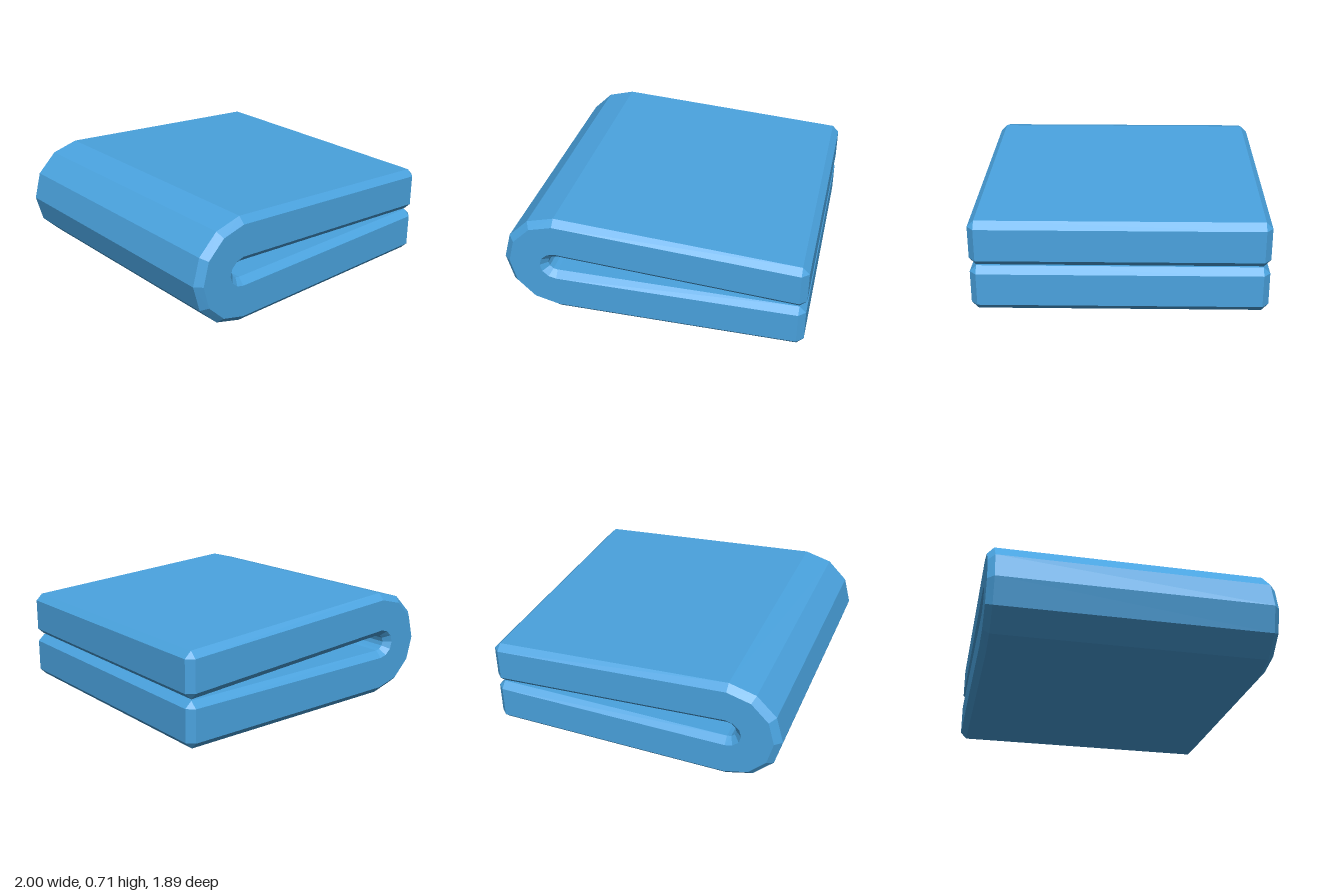
import * as THREE from 'three';

// Folded slab profile, counter-clockwise: [x, y] of the full section, then [x, y] of the chamfered end face
const PROFILE = [
  // bottom layer
  [-0.64, 0, -0.64, 0.045], [0.955, 0, 0.955, 0.045], [1, 0.045, 0.955, 0.045],
  [1, 0.26, 0.955, 0.26], [0.955, 0.302, 0.955, 0.26],
  // inside of the fold
  [-0.64, 0.302, -0.64, 0.258], [-0.668, 0.308, -0.69, 0.27], [-0.692, 0.328, -0.731, 0.306],
  [-0.7, 0.355, -0.745, 0.355],
  [-0.692, 0.384, -0.731, 0.404], [-0.668, 0.404, -0.69, 0.441], [-0.64, 0.411, -0.64, 0.455],
  // top layer
  [0.955, 0.31, 0.955, 0.355], [1, 0.352, 0.955, 0.355],
  [1, 0.564, 0.955, 0.566], [0.955, 0.608, 0.955, 0.566],
  // outside of the fold
  [-0.64, 0.71, -0.64, 0.667], [-0.82, 0.661, -0.798, 0.624], [-0.952, 0.532, -0.914, 0.51],
  [-1, 0.355, -0.955, 0.355],
  [-0.952, 0.179, -0.914, 0.2], [-0.82, 0.05, -0.798, 0.086],
];

function foldedGeometry(halfDepth, chamfer) {
  const outer = PROFILE.map(([x, y]) => new THREE.Vector2(x, y));
  const inset = PROFILE.map((p) => new THREE.Vector2(p[2], p[3]));
  const positions = [];
  const at = (p, z) => new THREE.Vector3(p.x, p.y, z);
  const addTriangle = (a, b, c) => {
    // chamfer corners collapse to a single triangle, so skip empty ones
    if (new THREE.Triangle(a, b, c).getArea() < 1e-7) return;
    for (const v of [a, b, c]) positions.push(v.x, v.y, v.z);
  };

  // walls: chamfer, full section, chamfer
  const rings = [
    [inset, -halfDepth], [outer, -halfDepth + chamfer],
    [outer, halfDepth - chamfer], [inset, halfDepth],
  ];
  for (let r = 0; r < 3; r++) {
    const [back, zBack] = rings[r], [front, zFront] = rings[r + 1];
    for (let i = 0; i < outer.length; i++) {
      const j = (i + 1) % outer.length;
      const a = at(back[i], zBack), b = at(back[j], zBack);
      const c = at(front[j], zFront), d = at(front[i], zFront);
      addTriangle(a, b, c);
      addTriangle(a, c, d);
    }
  }

  // end faces
  const cap = inset.filter((p, i) => i === 0 || !p.equals(inset[i - 1]));
  for (const [i, j, k] of THREE.ShapeUtils.triangulateShape(cap, [])) {
    addTriangle(at(cap[i], halfDepth), at(cap[j], halfDepth), at(cap[k], halfDepth));
    addTriangle(at(cap[k], -halfDepth), at(cap[j], -halfDepth), at(cap[i], -halfDepth));
  }

  const geometry = new THREE.BufferGeometry();
  geometry.setAttribute('position', new THREE.Float32BufferAttribute(positions, 3));
  geometry.computeVertexNormals();
  return geometry;
}

export function createModel() {
  const blueCloth = new THREE.MeshStandardMaterial({ color: 0x4aa3df, flatShading: true });
  blueCloth.name = 'blueCloth';

  const towel = new THREE.Mesh(foldedGeometry(0.944, 0.043), blueCloth);
  towel.name = 'foldedTowel';

  const model = new THREE.Group();
  model.name = 'towel';
  model.add(towel);
  return model;
}
